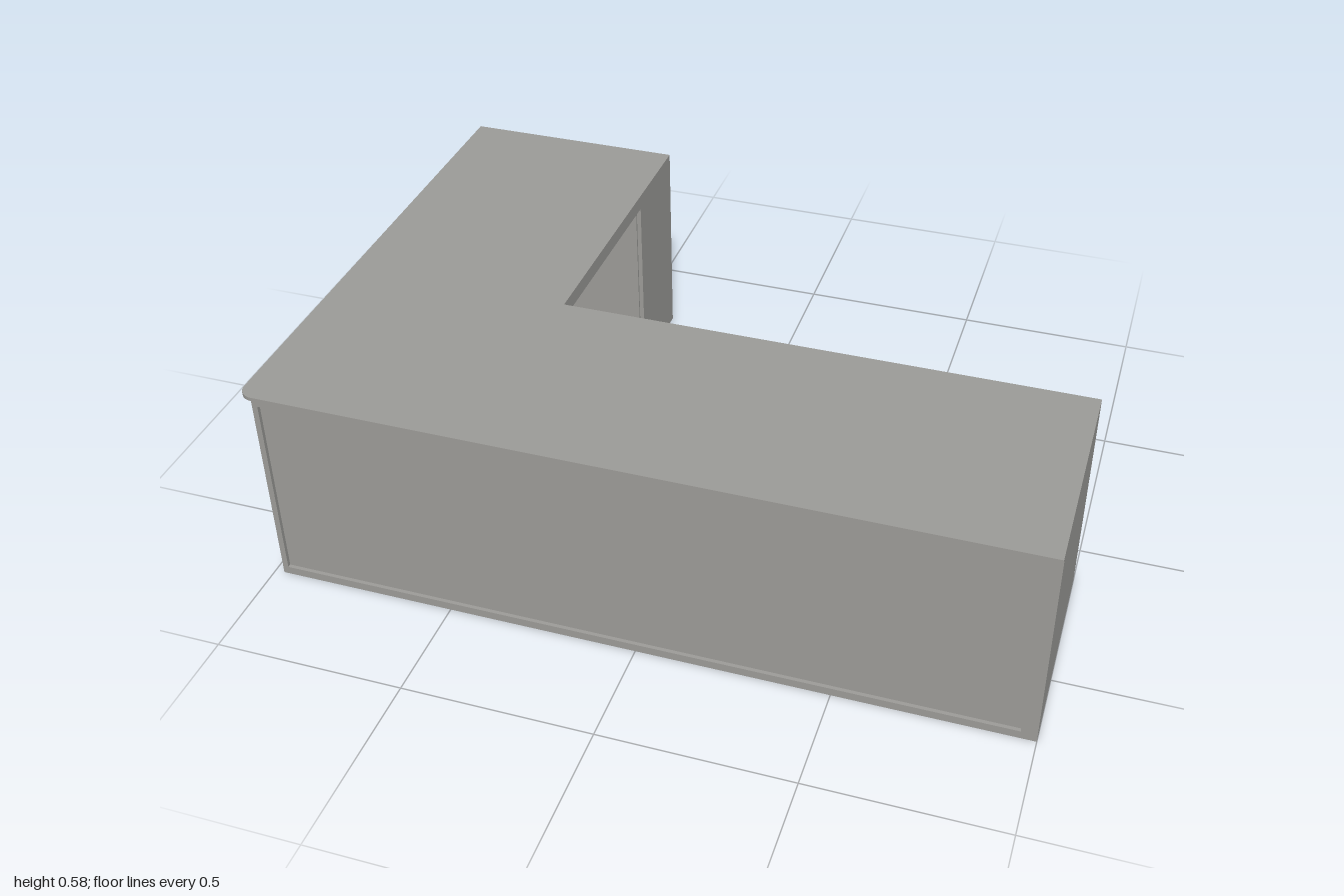
import * as THREE from 'three';

const grey = new THREE.MeshStandardMaterial({ color: 0x9c9b98 });
grey.name = 'warm grey';

// Main dimensions
const H = 0.583, TOP = 0.573, UNDER = 0.542;
const RIGHT = 1, LEFT = -0.975, FRONT = 0.71, BACK = -0.73;
const INX = -0.39, INZ = 0.12, WALL = 0.02;

function add(parent, name, geometry) {
  const mesh = new THREE.Mesh(geometry, grey);
  mesh.name = name;
  parent.add(mesh);
  return mesh;
}

// Box given by its limits on each axis
function block(parent, name, x0, x1, y0, y1, z0, z1) {
  const mesh = add(parent, name, new THREE.BoxGeometry(x1 - x0, y1 - y0, z1 - z0));
  mesh.position.set((x0 + x1) / 2, (y0 + y1) / 2, (z0 + z1) / 2);
  return mesh;
}

// L-shaped slab in plan, with an optional rounded outer corner
function slab(parent, name, left, front, y0, y1, r) {
  const s = new THREE.Shape();
  s.moveTo(left, -BACK);
  s.lineTo(left, -front + r);
  if (r) s.absarc(left + r, -front + r, r, Math.PI, Math.PI * 1.5, false);
  s.lineTo(RIGHT, -front);
  s.lineTo(RIGHT, -INZ);
  s.lineTo(INX, -INZ);
  s.lineTo(INX, -BACK);
  s.closePath();
  const g = new THREE.ExtrudeGeometry(s, { depth: y1 - y0, bevelEnabled: false, curveSegments: 8 });
  g.rotateX(-Math.PI / 2);
  g.translate(0, y0, 0);
  return add(parent, name, g);
}

// Upright panel facing +z: a raised frame around a recessed field
function framedPanel(name, a, b, holeA, holeB) {
  const group = new THREE.Group();
  group.name = name;
  const depth = 0.01;
  const s = new THREE.Shape([[a, 0], [b, 0], [b, TOP], [a, TOP]].map(p => new THREE.Vector2(...p)));
  s.holes.push(new THREE.Path([[holeA, 0.022], [holeA, 0.542], [holeB, 0.542], [holeB, 0.022]]
    .map(p => new THREE.Vector2(...p))));
  const frame = new THREE.ExtrudeGeometry(s, { depth, bevelEnabled: false });
  frame.translate(0, 0, -depth);
  add(group, name + 'Frame', frame);
  block(group, name + 'Field', a, b, 0, TOP, -WALL, -depth);
  return group;
}

export function createModel() {
  const desk = new THREE.Group();
  desk.name = 'cornerDesk';

  // Worktop overhanging the front and left sides, on a thicker core
  slab(desk, 'worktop', -1, 0.73, TOP, H, 0.04);
  slab(desk, 'worktopCore', LEFT + WALL, FRONT - WALL, UNDER, TOP, 0);

  // Outer framed panels
  const front = framedPanel('frontPanel', LEFT, RIGHT, -0.96, 0.96);
  front.position.z = FRONT;
  const side = framedPanel('sidePanel', BACK, FRONT - WALL, -0.695, 0.68);
  side.rotation.y = -Math.PI / 2;
  side.position.x = LEFT;
  desk.add(front, side);

  // End panel of the front wing, with a slightly recessed liner
  block(desk, 'endPanel', RIGHT - WALL, RIGHT, 0, TOP, INZ, FRONT - WALL);
  block(desk, 'endPanelLiner', RIGHT - WALL - 0.006, RIGHT - WALL, 0, UNDER, INZ + 0.012, FRONT - WALL);

  // Cabinet at the end of the side wing, with its liner
  block(desk, 'cabinet', LEFT + WALL, INX, 0, UNDER, BACK, -0.47);
  block(desk, 'cabinetLiner', LEFT + WALL, INX - 0.012, 0, UNDER, -0.47, -0.464);

  return desk;
}
